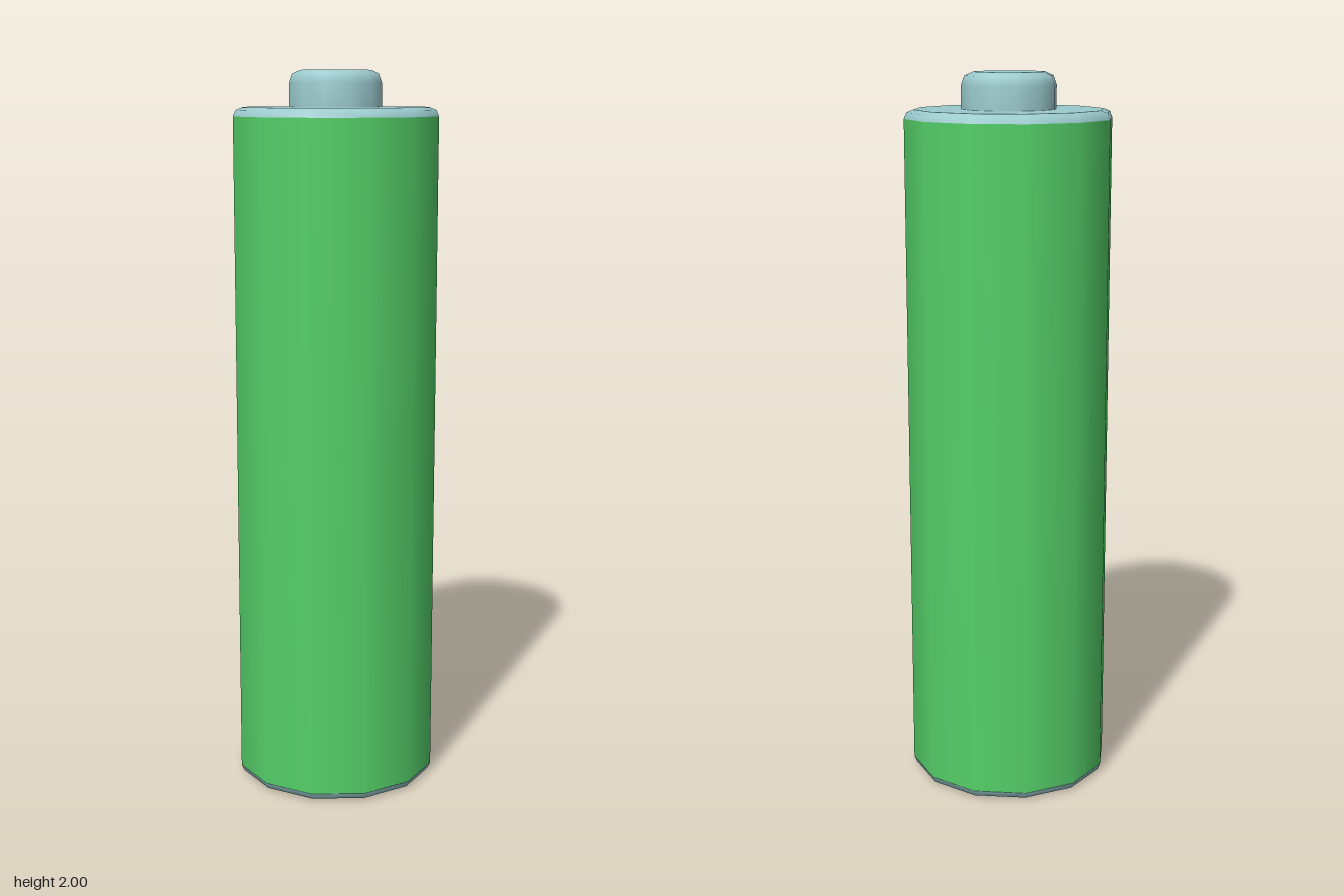
import * as THREE from 'three';

const SIDES = 12;
const green = new THREE.MeshStandardMaterial({ color: 0x55d069 });
const metal = new THREE.MeshStandardMaterial({ color: 0x9bcacd });

export function createModel() {
  const model = new THREE.Group();
  model.name = 'battery';

  const add = (name, geometry, material, y = 0) => {
    const mesh = new THREE.Mesh(geometry, material);
    mesh.name = name;
    mesh.position.y = y;
    model.add(mesh);
  };
  // Smooth wall turned from [radius, height] points, listed bottom to top
  const wall = (points) =>
    new THREE.LatheGeometry(points.map(([r, y]) => new THREE.Vector2(r, y)), SIDES);
  // Flat disc facing up (1) or down (-1)
  const disc = (radius, facing) =>
    new THREE.CircleGeometry(radius, SIDES).rotateX(-facing * Math.PI / 2);

  // Coloured sleeve
  add('sleeve', wall([[0.285, 0.025], [0.285, 1.878]]), green);

  // Bottom cap with bevelled rim
  add('bottomRim', wall([[0.26, 0], [0.278, 0.008], [0.285, 0.025]]), metal);
  add('bottomFace', disc(0.26, -1), metal);

  // Top cap with bevelled rim
  add('topRim', wall([[0.285, 1.878], [0.278, 1.895], [0.26, 1.902]]), metal);
  add('topFace', disc(0.26, 1), metal, 1.902);

  // Raised terminal with rounded edge
  add('terminalWall', wall([[0.13, 1.902], [0.13, 1.965], [0.121, 1.99], [0.098, 2]]), metal);
  add('terminalFace', disc(0.098, 1), metal, 2);

  return model;
}
